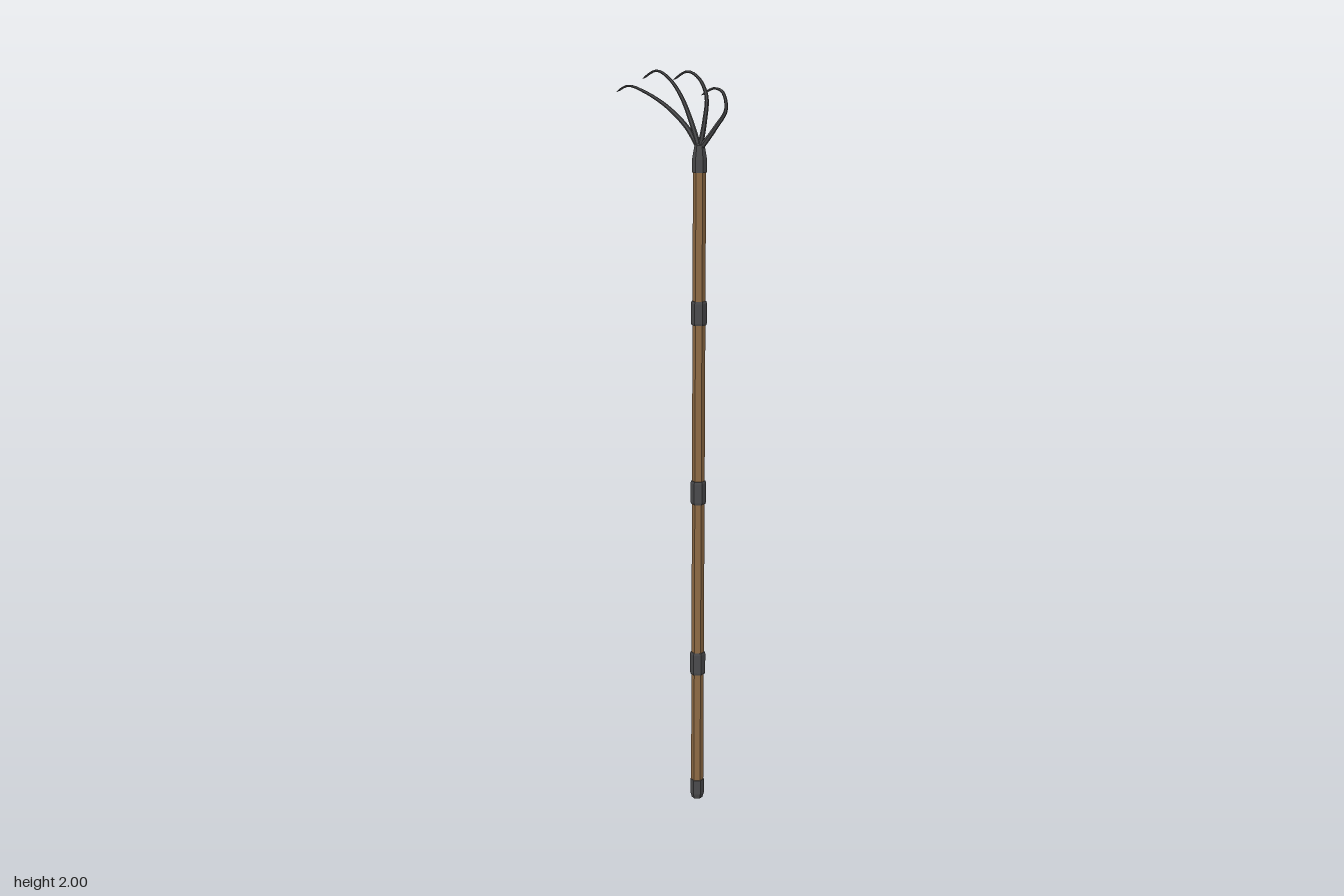
import * as THREE from 'three';

const SIDES = 6;
const AXIS_X = 0.088;

const metal = new THREE.MeshStandardMaterial({ color: 0x4b4b4d, flatShading: true });
const wood = new THREE.MeshStandardMaterial({ color: 0x8f6b45, flatShading: true });

// Faceted solid of revolution around the pole axis, from [radius, y] pairs
function turned(name, profile, material) {
  const points = profile.map(([r, y]) => new THREE.Vector2(r, y));
  const mesh = new THREE.Mesh(new THREE.LatheGeometry(points, SIDES), material);
  mesh.name = name;
  mesh.position.x = AXIS_X;
  return mesh;
}

// Curved prong that thins from its root to a closed tip
function tine(name, coords) {
  const curve = new THREE.CatmullRomCurve3(coords.map(([x, y]) => new THREE.Vector3(x, y, 0)));
  const segments = 24;
  const geometry = new THREE.TubeGeometry(curve, segments, 1, SIDES);
  const position = geometry.attributes.position;
  const v = new THREE.Vector3();
  for (let i = 0; i <= segments; i++) {
    const centre = curve.getPointAt(i / segments);
    const radius = i === segments ? 0 : THREE.MathUtils.lerp(0.0075, 0.0025, i / segments);
    for (let j = 0; j <= SIDES; j++) {
      const k = i * (SIDES + 1) + j;
      v.fromBufferAttribute(position, k).sub(centre).multiplyScalar(radius).add(centre);
      position.setXYZ(k, v.x, v.y, v.z);
    }
  }
  geometry.computeVertexNormals();
  const mesh = new THREE.Mesh(geometry, metal);
  mesh.name = name;
  return mesh;
}

export function createModel() {
  const model = new THREE.Group();
  model.name = 'longHandledRake';

  // Wooden pole
  model.add(turned('pole', [[0, 0.02], [0.017, 0.02], [0.017, 1.77], [0, 1.77]], wood));

  // Metal foot and head socket
  model.add(turned('footCap', [[0, 0], [0.015, 0], [0.019, 0.014], [0.019, 0.055], [0, 0.055]], metal));
  model.add(turned('headSocket',
    [[0, 1.742], [0.0195, 1.742], [0.0195, 1.775], [0.013, 1.812], [0, 1.818]], metal));

  // Bands along the pole
  [0.4, 0.887, 1.375].forEach((y, i) => {
    const h = 0.032;
    model.add(turned(`band${i + 1}`,
      [[0, y - h], [0.0195, y - h], [0.021, y - h + 0.006], [0.021, y + h - 0.006], [0.0195, y + h], [0, y + h]], metal));
  });

  // Fan of four hooked tines
  const head = new THREE.Group();
  head.name = 'rakeHead';
  const root = [AXIS_X, 1.8];
  [
    [[0.05, 1.854], [-0.013, 1.906], [-0.087, 1.943], [-0.135, 1.955], [-0.173, 1.937]],
    [[0.061, 1.873], [0.029, 1.937], [-0.008, 1.979], [-0.045, 1.996], [-0.09, 1.973]],
    [[0.103, 1.873], [0.108, 1.937], [0.084, 1.981], [0.05, 1.996], [0.006, 1.973]],
    [[0.135, 1.857], [0.167, 1.905], [0.156, 1.948], [0.13, 1.956], [0.092, 1.937]],
  ].forEach((path, i) => head.add(tine(`tine${i + 1}`, [root, ...path])));
  model.add(head);

  return model;
}
